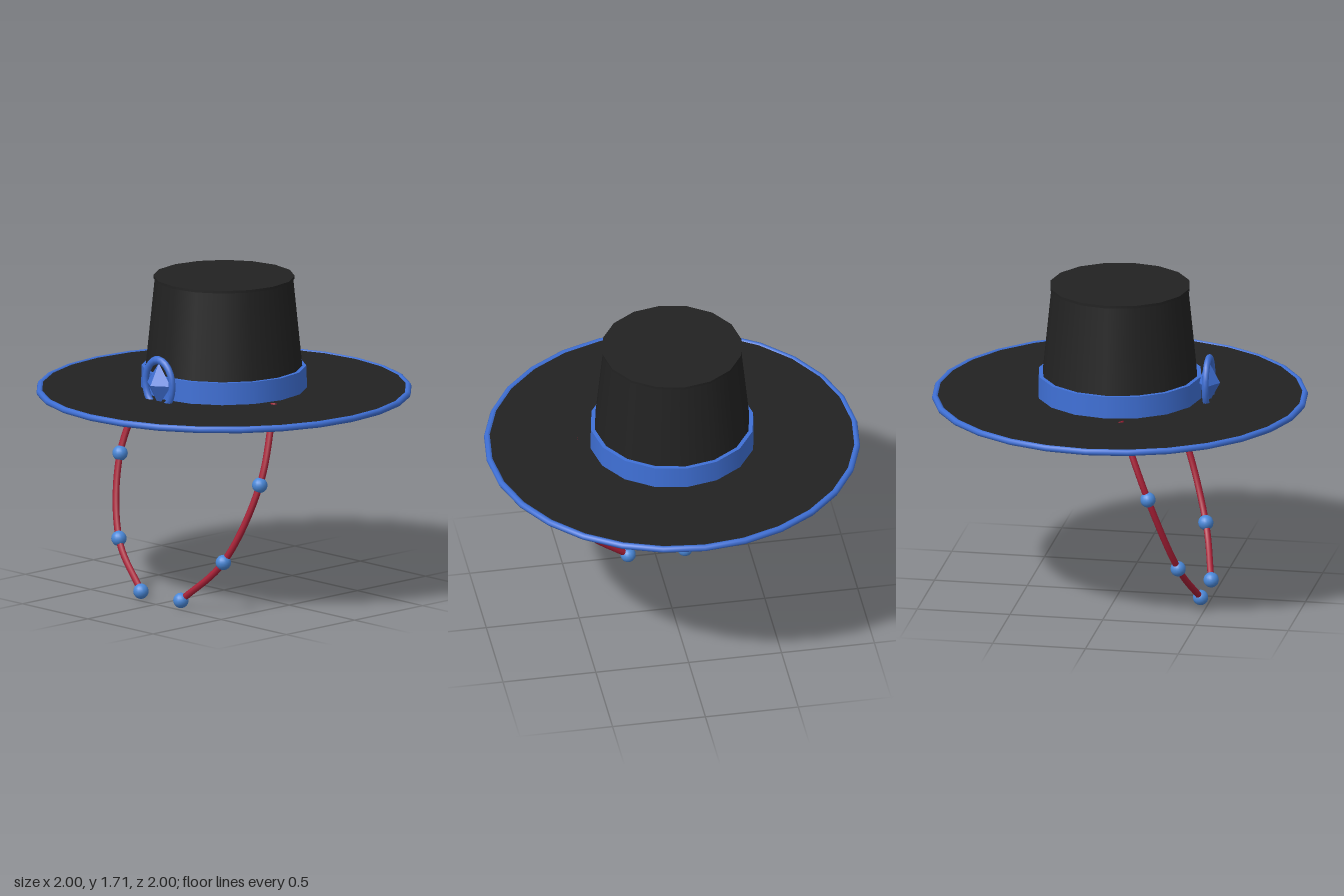
import * as THREE from 'three';

const mat = (name, color) => {
  const m = new THREE.MeshStandardMaterial({ color });
  m.name = name;
  return m;
};

export function createModel() {
  const felt = mat('black felt', 0x222222);
  const trim = mat('blue trim', 0x3f70d6);
  const bead = mat('light blue bead', 0x4a88d8);
  const cord = mat('red cord', 0xa81f36);

  const hat = new THREE.Group();
  hat.name = 'hat';
  const add = (name, geometry, material, x = 0, y = 0, z = 0, parent = hat) => {
    const mesh = new THREE.Mesh(geometry, material);
    mesh.name = name;
    mesh.position.set(x, y, z);
    parent.add(mesh);
    return mesh;
  };

  // Flat brim with a rolled edge
  add('brim', new THREE.CylinderGeometry(0.98, 0.98, 0.025, 28), felt, 0, 1.095, 0);
  add('brimEdge', new THREE.TorusGeometry(0.98, 0.018, 8, 28).rotateX(Math.PI / 2), trim, 0, 1.095, 0);

  // Tapered crown with a thin lip, and the band around its foot
  add('crown', new THREE.CylinderGeometry(0.367, 0.428, 0.6, 16), felt, 0, 1.4, 0);
  add('crownLip', new THREE.CylinderGeometry(0.375, 0.375, 0.014, 16), felt, 0, 1.706, 0);
  add('band', new THREE.CylinderGeometry(0.437, 0.44, 0.12, 16), trim, 0, 1.166, 0);

  // Oval brooch on the front of the band
  const brooch = new THREE.Group();
  brooch.name = 'brooch';
  brooch.position.set(0, 1.197, 0.478);
  hat.add(brooch);
  add('broochRing', new THREE.TorusGeometry(0.102, 0.018, 8, 24).scale(1, 1.28, 1), trim, 0, 0, 0, brooch);
  add('broochGem', new THREE.OctahedronGeometry(1).scale(0.09, 0.115, 0.062), trim, 0, 0, 0, brooch);

  // Hanging chin cords with three beads each
  for (const side of [1, -1]) {
    const cordGroup = new THREE.Group();
    cordGroup.name = side > 0 ? 'leftCord' : 'rightCord';
    hat.add(cordGroup);
    const points = [
      [0.478, 1.11, 0.09], [0.535, 0.7, 0.25], [0.4, 0.28, 0.388], [0.153, 0.045, 0.463],
    ].map(([x, y, z]) => new THREE.Vector3(x * side, y, z));
    const curve = new THREE.CatmullRomCurve3(points);
    add('cord', new THREE.TubeGeometry(curve, 32, 0.018, 8), cord, 0, 0, 0, cordGroup);
    for (const p of points.slice(1)) {
      add('bead', new THREE.SphereGeometry(0.041, 16, 12), bead, p.x, p.y, p.z, cordGroup);
    }
  }
  return hat;
}
